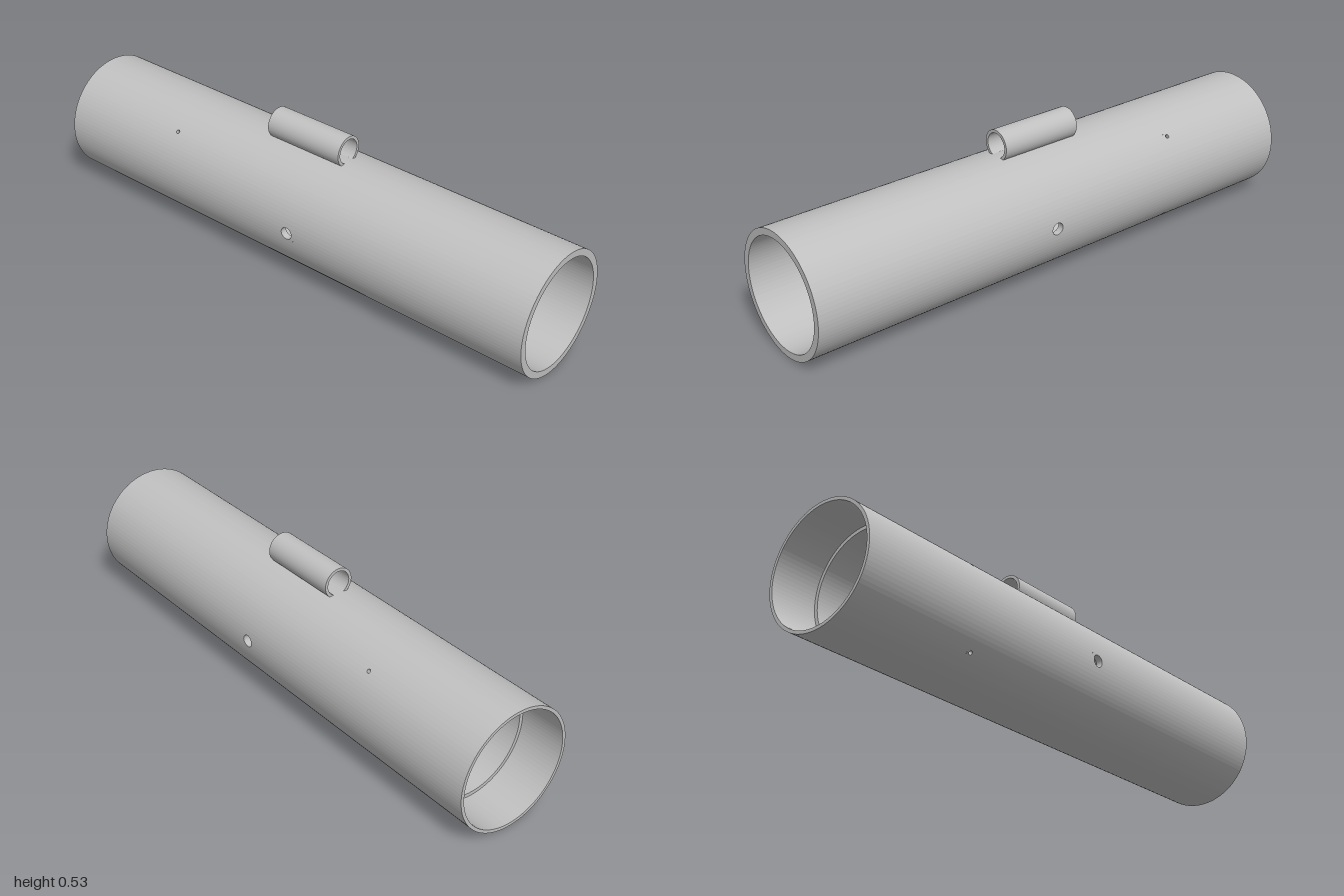
import * as THREE from 'three';

const R = 0.2185, BORE = 0.194, RECESS = 0.207, CY = 0.2185;
const SHOULDER = -0.83;          // depth of the rear recess
const SEG = 96, DT = Math.PI * 2 / SEG;

// Cross holes: facet columns they centre on, half width in columns, position and radius
const HOLES = [
  { z: -0.5, radius: 0.007, half: 1, columns: [12, 36, 60, 84] },
  { z: 0.065, radius: 0.022, half: 2, columns: [0, 48] },
];

const at = (r, t, z) => [r * Math.cos(t), CY + r * Math.sin(t), z];

function quad(out, a, b, c, d, flip = false) {
  const tri = flip ? [a, c, b, a, d, c] : [a, b, c, a, c, d];
  for (const p of tri) out.push(...p);
}

function toGeometry(out) {
  const geometry = new THREE.BufferGeometry();
  geometry.setAttribute('position', new THREE.Float32BufferAttribute(out, 3));
  geometry.computeVertexNormals();
  return geometry;
}

// Cylindrical band, leaving out the columns taken by a hole
function band(out, r, z0, z1, inward, hole) {
  for (let i = 0; i < SEG; i++) {
    const taken = hole && hole.columns.some((c) => {
      const k = (i - c + hole.half + SEG) % SEG;
      return k < hole.half * 2;
    });
    if (taken) continue;
    const a = i * DT, b = (i + 1) * DT;
    quad(out, at(r, a, z0), at(r, b, z0), at(r, b, z1), at(r, a, z1), inward);
  }
}

// Flat ring across the axis
function ring(out, r0, r1, z, backward) {
  for (let i = 0; i < SEG; i++) {
    const a = i * DT, b = (i + 1) * DT;
    quad(out, at(r1, a, z), at(r1, b, z), at(r0, b, z), at(r0, a, z), backward);
  }
}

// Curved patch from a round hole out to a rectangle, on one wall surface
function patchPoint(r, hole, column, angle, f) {
  const c = Math.cos(angle), s = Math.sin(angle);
  const m = Math.max(Math.abs(c), Math.abs(s));
  const t0 = Math.asin(hole.radius * c / r), z0 = hole.radius * s;
  const t1 = hole.half * DT * c / m, z1 = hole.half * DT * R * s / m;
  return at(r, column * DT + t0 + (t1 - t0) * f, hole.z + z0 + (z1 - z0) * f);
}

function drill(out, hole, column) {
  const n = 32, rings = 3;
  for (let i = 0; i < n; i++) {
    const a = i / n * Math.PI * 2, b = (i + 1) / n * Math.PI * 2;
    for (const r of [R, BORE]) {
      const p = (angle, k) => patchPoint(r, hole, column, angle, k / rings);
      for (let k = 0; k < rings; k++) {
        quad(out, p(a, k), p(a, k + 1), p(b, k + 1), p(b, k), r === BORE);
      }
    }
    const edge = (r, angle) => patchPoint(r, hole, column, angle, 0);
    quad(out, edge(R, a), edge(R, b), edge(BORE, b), edge(BORE, a));
  }
}

function mainTubeGeometry() {
  const out = [];
  // Walls between, and around, the drilled zones
  for (const [r, start, inward] of [[R, -1, false], [BORE, SHOULDER, true]]) {
    let z = start;
    for (const hole of HOLES) {
      const h = hole.half * DT * R;
      band(out, r, z, hole.z - h, inward);
      band(out, r, hole.z - h, hole.z + h, inward, hole);
      z = hole.z + h;
    }
    band(out, r, z, 1, inward);
  }
  for (const hole of HOLES) for (const c of hole.columns) drill(out, hole, c);

  // Rear recess, its shoulder and both rims
  band(out, RECESS, -1, SHOULDER, true);
  ring(out, BORE, RECESS, SHOULDER, true);
  ring(out, RECESS, R, -1, true);
  ring(out, BORE, R, 1, false);
  return toGeometry(out);
}

// Small tube with an open underside that sinks into the main tube
function guideTubeGeometry() {
  const gap = 0.46, from = -Math.PI / 2 + gap, to = Math.PI * 1.5 - gap;
  const shape = new THREE.Shape();
  shape.absarc(0, 0, 0.055, from, to, false);
  shape.absarc(0, 0, 0.044, to, from, true);
  shape.closePath();
  const geometry = new THREE.ExtrudeGeometry(shape, { depth: 0.31, bevelEnabled: false, curveSegments: 48 });
  return geometry.translate(0, 0.475, -0.157);
}

export function createModel() {
  const metal = new THREE.MeshStandardMaterial({ color: 0xc0c0c0 });
  metal.name = 'greyMetal';

  const group = new THREE.Group();
  group.name = 'tubeWithGuide';
  for (const [name, geometry] of [['mainTube', mainTubeGeometry()], ['guideTube', guideTubeGeometry()]]) {
    const mesh = new THREE.Mesh(geometry, metal);
    mesh.name = name;
    group.add(mesh);
  }
  return group;
}
